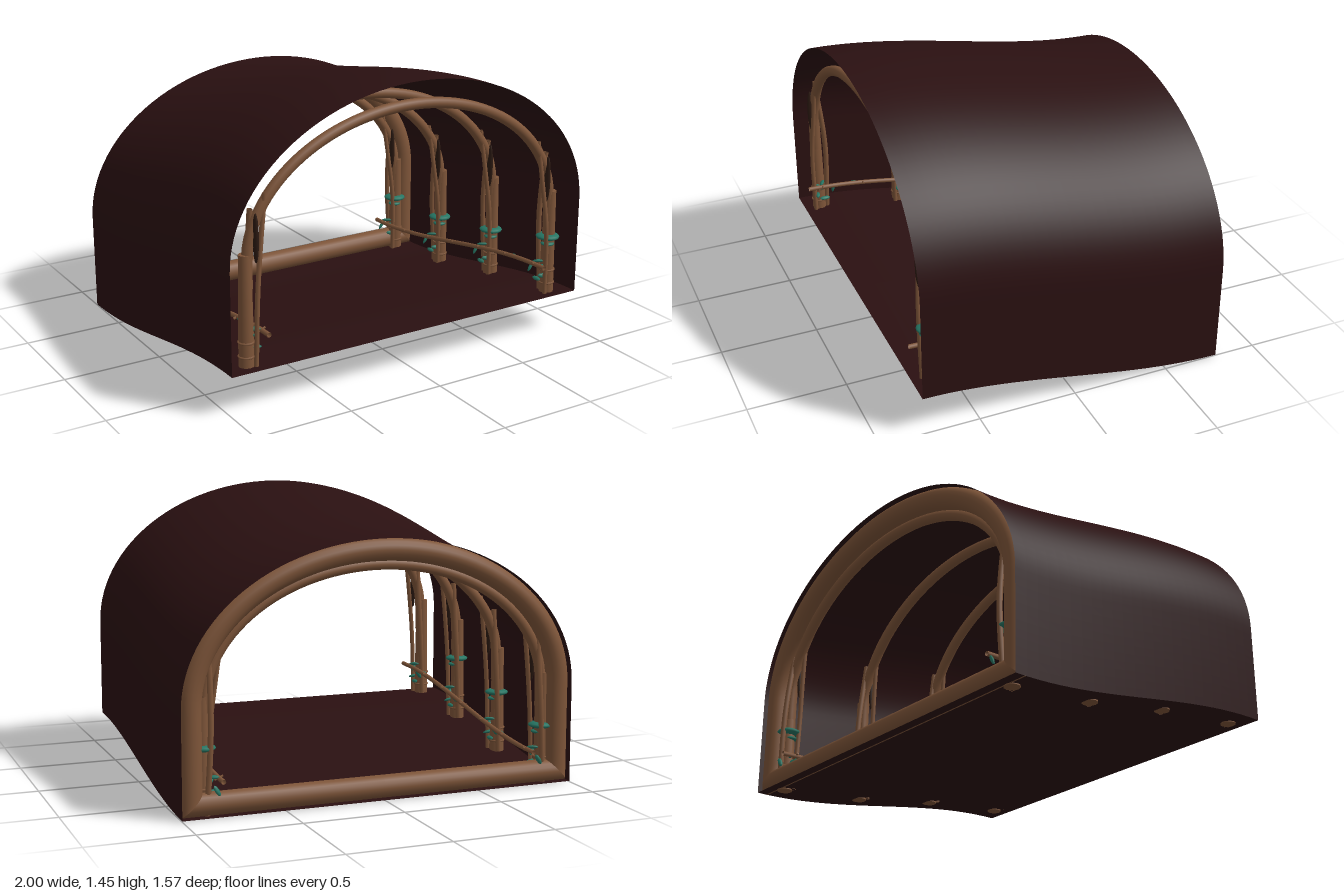
import * as THREE from 'three';

const HALF = 0.785, RISE = 0.2, SPRING = 0.5, ARC = 0.745;

// floor height along the sloping passage
function floorY(z) {
  const t = THREE.MathUtils.clamp((z + HALF) / (2 * HALF), 0, 1);
  return RISE * t * t * (3 - 2 * t);
}

// arch outline inset by d: straight wall, half ellipse, straight wall
function arch(u, d) {
  if (u < 0.15) return [1 - d, THREE.MathUtils.lerp(d, SPRING, u / 0.15)];
  if (u > 0.85) return [d - 1, THREE.MathUtils.lerp(d, SPRING, (1 - u) / 0.15)];
  const a = Math.PI * (u - 0.15) / 0.7;
  return [(1 - d) * Math.cos(a), SPRING + (ARC - d) * Math.sin(a)];
}

// grid surface from a rule f(u, v) -> [x, y, z]
function sheet(f, nu, nv) {
  const pos = [], idx = [];
  for (let j = 0; j <= nv; j++)
    for (let i = 0; i <= nu; i++) pos.push(...f(i / nu, j / nv));
  for (let j = 0; j < nv; j++)
    for (let i = 0; i < nu; i++) {
      const a = j * (nu + 1) + i, b = a + 1, c = a + nu + 1, d = c + 1;
      idx.push(a, b, c, b, d, c);
    }
  const g = new THREE.BufferGeometry();
  g.setAttribute('position', new THREE.Float32BufferAttribute(pos, 3));
  g.setIndex(idx);
  g.computeVertexNormals();
  return g;
}

function material(name, color, side = THREE.FrontSide) {
  const m = new THREE.MeshStandardMaterial({ color, side });
  m.name = name;
  return m;
}

export function createModel() {
  const root = new THREE.Group();
  root.name = 'archedTunnel';
  const earth = material('dark earth', 0x2a1011, THREE.DoubleSide);
  const wood = material('brown wood', 0x7e5539, THREE.DoubleSide);
  const bark = material('dark bark', 0x2c1a12);
  const teal = material('teal fungus', 0x267563);

  const add = (parent, name, geo, mat, x = 0, y = 0, z = 0) => {
    const m = new THREE.Mesh(geo, mat);
    m.name = name;
    m.position.set(x, y, z);
    parent.add(m);
    return m;
  };
  const tube = (pts, r, n = 16, sides = 10) => new THREE.TubeGeometry(
    new THREE.CatmullRomCurve3(pts.map(p => new THREE.Vector3(...p))), n, r, sides);

  // shell
  const along = v => HALF - 2 * HALF * v;
  add(root, 'vaultShell', sheet((u, v) => {
    const [x, y] = arch(u, 0), z = along(v);
    return [x, y + floorY(z), z];
  }, 80, 24), earth);
  add(root, 'floor', sheet((u, v) => {
    const z = along(v);
    return [2 * u - 1, floorY(z), z];
  }, 2, 24), earth);

  // rounded frame around the rear opening
  const R = 0.055;
  const section = v => {
    const a = v * Math.PI * 2;
    return [R - R * Math.cos(a), -HALF + R + R * Math.sin(a)];
  };
  add(root, 'rearFrameArch', sheet((u, v) => {
    const [d, z] = section(v);
    return [...arch(u, d), z];
  }, 80, 16), wood);
  add(root, 'rearFrameSill', sheet((u, v) => {
    const [d, z] = section(v);
    return [(1 - d) * (2 * u - 1), d, z];
  }, 2, 16), wood);

  // ribs with posts, branches and fungus
  const postGeo = new THREE.CylinderGeometry(0.03, 0.038, 0.55, 12);
  const bandGeo = new THREE.TorusGeometry(0.036, 0.006, 6, 14);
  const hollowGeo = new THREE.SphereGeometry(1, 10, 8);
  const capGeo = new THREE.SphereGeometry(1, 16, 8);
  const leafGeo = new THREE.SphereGeometry(1, 8, 6);
  [0.7, 0.23, -0.24, -0.7].forEach((z, k) => {
    const rib = new THREE.Group();
    rib.name = 'rib' + (k + 1);
    rib.position.set(0, floorY(z), z);
    root.add(rib);
    const pts = [];
    for (let i = 0; i <= 20; i++) pts.push([...arch(0.1 + 0.04 * i, 0.13), 0]);
    add(rib, 'archBeam', tube(pts, 0.027, 64), wood);

    for (const s of [-1, 1]) {
      add(rib, 'post', postGeo, wood, s * 0.88, 0.27, 0);
      for (const y of [0.05, 0.12])
        add(rib, 'postBand', bandGeo, wood, s * 0.88, y, 0).rotation.x = Math.PI / 2;

      // slim leaning stems beside the post
      add(rib, 'innerStem', tube([[s * 0.845, 0, 0.03], [s * 0.835, 0.35, 0.035],
        [s * 0.805, 0.62, 0.02], [s * 0.778, 0.82, 0.01]], 0.012, 16, 7), wood);
      add(rib, 'outerStem', tube([[s * 0.87, 0, -0.04], [s * 0.85, 0.4, -0.045],
        [s * 0.845, 0.75, -0.01]], 0.014, 14, 7), wood);
      add(rib, 'barkSliver', hollowGeo, bark, s * 0.835, 0.62, 0.025).scale.set(0.013, 0.12, 0.02);

      // shelf fungus with a small second cap
      if (k > 0 || s > 0) {
        const h = s < 0 ? [0, 0.33, 0.31, 0.28][k] : [0.3, 0.25, 0.27, 0.31][k];
        add(rib, 'fungusCap', capGeo, teal, s * 0.875, h, 0).scale.set(0.06, 0.018, 0.062);
        add(rib, 'fungusUnderCap', capGeo, teal, s * 0.868, h - 0.035, 0.01).scale.set(0.035, 0.012, 0.035);
      }
      // small leaf tuft near the base
      for (let i = 0; i < 5; i++) {
        const leaf = add(rib, 'leaf', leafGeo, teal,
          s * (0.83 + 0.01 * (i % 2)), 0.07 + 0.025 * i, 0.05 * Math.sin(i * 2.3) - 0.02);
        leaf.scale.set(0.012, 0.008, 0.03);
        leaf.rotation.set(i * 0.8, i * 1.3, s * 0.5);
      }
    }
  });

  // low rails following the slope, with little pegs and buds
  const pegGeo = new THREE.CylinderGeometry(0.005, 0.007, 0.045, 6);
  for (const s of [-1, 1]) {
    const rail = new THREE.Group();
    rail.name = s < 0 ? 'rightRail' : 'leftRail';
    root.add(rail);
    const pts = [];
    for (let i = 0; i <= 12; i++) {
      const z = 0.775 - 1.55 * i / 12;
      pts.push([s * 0.8, floorY(z) + 0.16, z]);
    }
    add(rail, 'railPole', tube(pts, 0.012, 36, 8), wood);
    for (let i = 0; i < 7; i++) {
      const z = 0.7 - i * 0.233;
      add(rail, 'peg', pegGeo, wood, s * 0.8, floorY(z) + 0.162, z).rotation.z = 1.2 * s;
      if (i % 2) add(rail, 'bud', leafGeo, teal, s * 0.812, floorY(z) + 0.165, z + 0.05).scale.set(0.01, 0.009, 0.025);
    }
  }
  return root;
}
